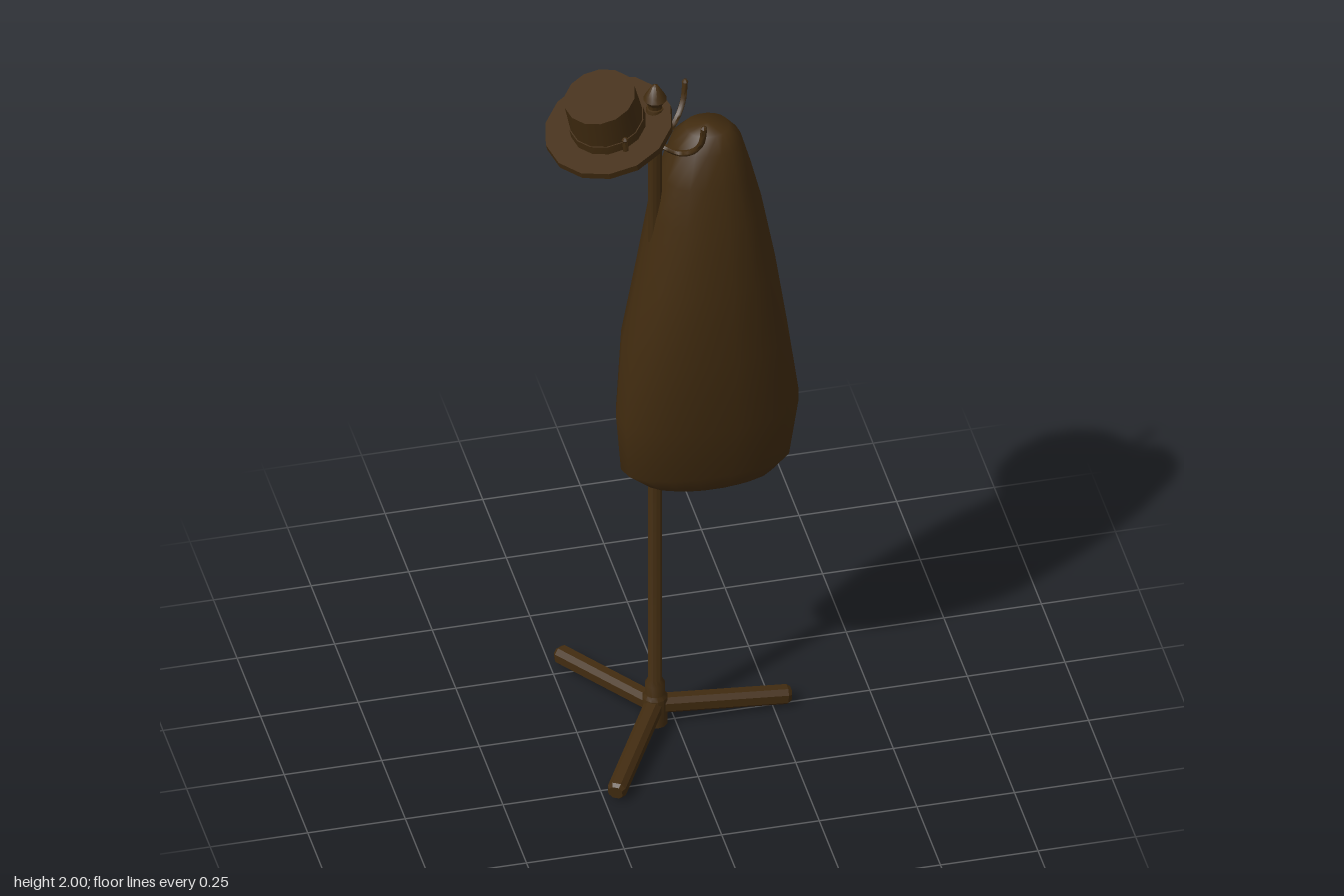
import * as THREE from 'three';
import { toCreasedNormals } from 'three/addons/utils/BufferGeometryUtils.js';

const wood = new THREE.MeshStandardMaterial({ color: 0x422c10 });
wood.name = 'darkBrown';

const POLE_X = -0.05;

function part(name, geometry, parent, crease = 0.7) {
  const geo = crease ? toCreasedNormals(geometry, crease) : geometry;
  const mesh = new THREE.Mesh(geo, wood);
  mesh.name = name;
  parent.add(mesh);
  return mesh;
}

function lathe(points, sides) {
  return new THREE.LatheGeometry(points.map(([r, y]) => new THREE.Vector2(r, y)), sides);
}

// Closed body lofted through rounded sections: [y, xMin, xMax, zMin, zMax]
function coatGeometry() {
  const rows = [
    [0.718, 0.07, 0.09, -0.02, -0.01],
    [0.72, -0.03, 0.215, -0.06, 0.035],
    [0.737, -0.075, 0.255, -0.085, 0.055],
    [0.78, -0.132, 0.302, -0.113, 0.068],
    [0.95, -0.145, 0.323, -0.152, 0.108],
    [1.17, -0.13, 0.293, -0.167, 0.125],
    [1.38, -0.09, 0.262, -0.167, 0.125],
    [1.57, -0.058, 0.227, -0.15, 0.106],
    [1.68, -0.032, 0.2, -0.125, 0.082],
    [1.77, 0.0, 0.175, -0.108, 0.06],
    [1.806, 0.035, 0.145, -0.078, 0.025],
    [1.815, 0.085, 0.095, -0.03, -0.02],
  ];
  const sides = 18;
  const pos = [];
  const idx = [];
  const soft = (v) => Math.sign(v) * Math.abs(v) ** 0.9;
  rows.forEach(([y, x0, x1, z0, z1]) => {
    for (let i = 0; i < sides; i++) {
      const a = (i / sides) * Math.PI * 2;
      pos.push((x0 + x1) / 2 + soft(Math.cos(a)) * (x1 - x0) / 2, y,
        (z0 + z1) / 2 + soft(Math.sin(a)) * (z1 - z0) / 2);
    }
  });
  for (let r = 0; r < rows.length - 1; r++) {
    for (let i = 0; i < sides; i++) {
      const j = (i + 1) % sides;
      const a = r * sides + i, b = r * sides + j;
      idx.push(a, a + sides, b, b, a + sides, b + sides);
    }
  }
  // end caps
  const top = (rows.length - 1) * sides;
  for (let i = 1; i < sides - 1; i++) {
    idx.push(0, i, i + 1, top, top + i + 1, top + i);
  }
  const geo = new THREE.BufferGeometry();
  geo.setAttribute('position', new THREE.Float32BufferAttribute(pos, 3));
  geo.setIndex(idx);
  geo.computeVertexNormals();
  return geo;
}

// Chamfered bar running along +x
function legGeometry() {
  const h = 0.023, c = 0.012;
  const shape = new THREE.Shape([
    [-h, -h + c], [-h + c, -h], [h - c, -h], [h, -h + c],
    [h, h - c], [h - c, h], [-h + c, h], [-h, h - c],
  ].map(([x, y]) => new THREE.Vector2(x, y)));
  const geo = new THREE.ExtrudeGeometry(shape, {
    depth: 0.338, bevelEnabled: true, bevelSegments: 1,
    bevelThickness: 0.01, bevelSize: 0.006, bevelOffset: -0.006,
  });
  return geo.rotateY(Math.PI / 2);
}

export function createModel() {
  const model = new THREE.Group();
  model.name = 'coatStand';

  const stand = new THREE.Group();
  stand.name = 'stand';
  stand.position.x = POLE_X;
  model.add(stand);

  // Pole with hub at the foot and a flared head
  part('pole', lathe([
    [0, 0], [0.032, 0], [0.032, 0.08], [0.026, 0.09], [0.026, 0.12], [0.018, 0.135],
    [0.018, 1.76], [0.02, 1.8], [0.026, 1.885], [0.022, 1.905], [0, 1.91],
  ], 12), stand);

  part('finial', lathe([
    [0, 1.9], [0.018, 1.9], [0.018, 1.915], [0.03, 1.932], [0.024, 1.945], [0.008, 1.972], [0, 1.976],
  ], 12), stand);

  // Three sloping feet
  for (let i = 0; i < 3; i++) {
    const pivot = new THREE.Group();
    pivot.name = 'foot';
    pivot.rotation.y = (i * Math.PI * 2) / 3;
    stand.add(pivot);
    const leg = part('leg', legGeometry(), pivot, 0.5);
    leg.position.y = 0.056;
    leg.rotation.z = -0.09;
  }

  // Four curved hooks on the diagonals
  const curve = new THREE.CatmullRomCurve3([
    [0.0, 1.805], [0.03, 1.792], [0.07, 1.79], [0.11, 1.81], [0.135, 1.845], [0.143, 1.893],
  ].map(([x, y]) => new THREE.Vector3(x, y, 0)));
  for (let i = 0; i < 4; i++) {
    const hook = new THREE.Group();
    hook.name = 'hook';
    hook.rotation.y = Math.PI / 4 + (i * Math.PI) / 2;
    stand.add(hook);
    part('hookRod', new THREE.TubeGeometry(curve, 14, 0.008, 6), hook, 1.2);
    const tip = part('hookTip', new THREE.SphereGeometry(0.0085, 6, 4), hook, 1.2);
    tip.position.set(0.143, 1.893, 0);
  }

  // Hanging coat
  part('coat', coatGeometry(), model, 0);

  // Tilted hat
  const hat = new THREE.Group();
  hat.name = 'hat';
  hat.position.set(-0.168, 1.862, 0);
  hat.rotation.set(0.16, 0, 0.24);
  model.add(hat);
  const brim = part('brim', new THREE.CylinderGeometry(0.163, 0.163, 0.018, 14, 1, false, Math.PI / 2), hat, 0.3);
  brim.position.y = 0.001;
  const crown = part('crown', new THREE.CylinderGeometry(0.091, 0.094, 0.118, 14, 1, false, Math.PI / 2), hat);
  crown.position.y = 0.06;
  const band = part('hatBand', new THREE.CylinderGeometry(0.096, 0.097, 0.025, 14, 1, false, Math.PI / 2), hat);
  band.position.y = 0.022;

  return model;
}
